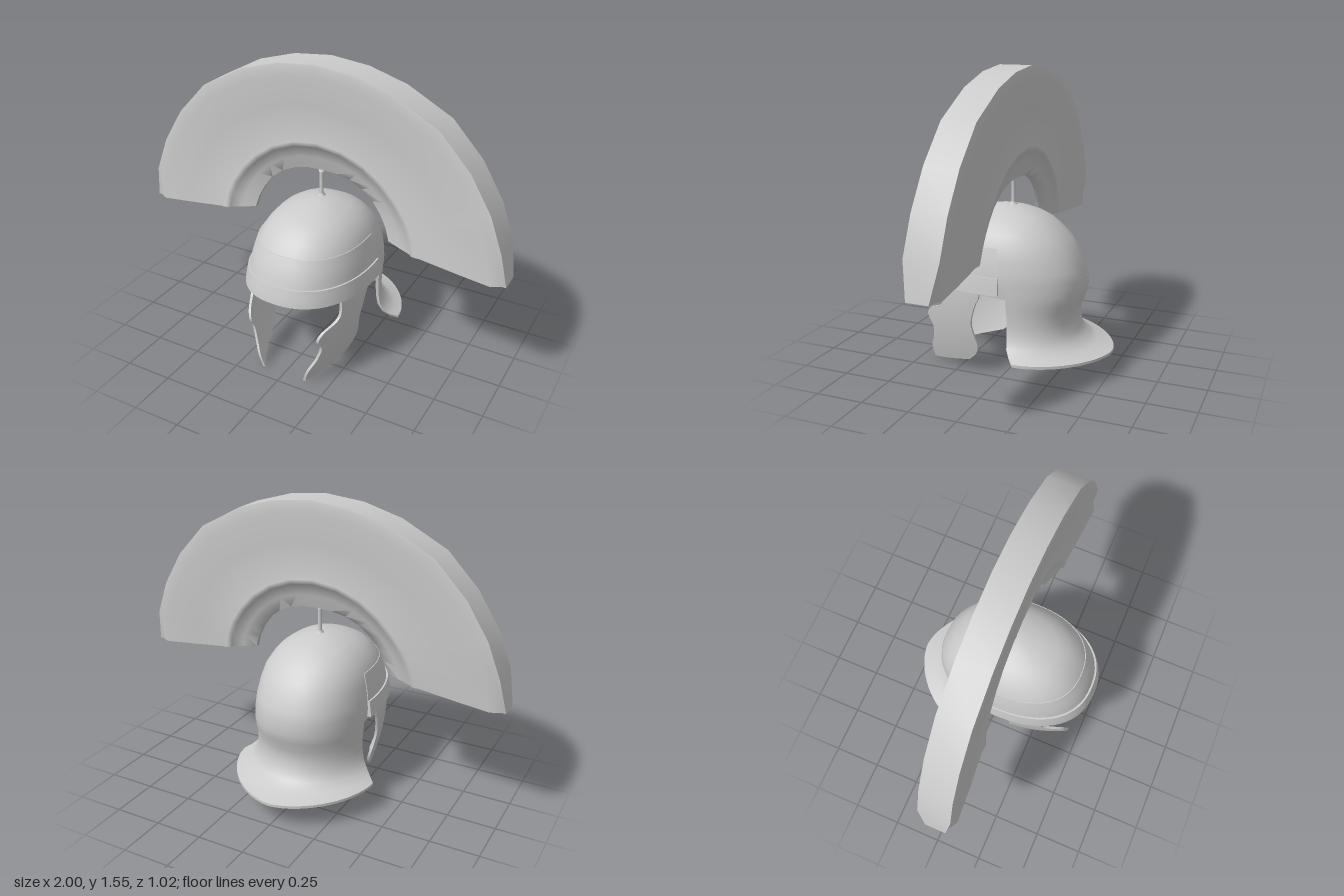
import * as THREE from 'three';
import { toCreasedNormals } from 'three/addons/utils/BufferGeometryUtils.js';

const material = new THREE.MeshStandardMaterial({ color: 0xcccccc, side: THREE.DoubleSide });
const lerp = THREE.MathUtils.lerp;

// Skin a row of closed loops; the ends are capped by joining point i to its partner n-1-i.
function loft(name, loops, crease = 0.7) {
  const n = loops[0].length, m = loops.length;
  const index = [];
  const quad = (a, b, c, d) => index.push(a, b, c, a, c, d);
  for (let s = 0; s < m - 1; s++)
    for (let i = 0; i < n; i++) {
      const j = (i + 1) % n;
      quad(s * n + i, s * n + j, (s + 1) * n + j, (s + 1) * n + i);
    }
  for (let i = 0; i < n / 2 - 1; i++) {
    const e = (m - 1) * n;
    quad(i, n - 1 - i, n - 2 - i, i + 1);
    quad(e + i, e + i + 1, e + n - 2 - i, e + n - 1 - i);
  }
  // turn the faces outward if the enclosed volume is negative
  const p = loops.flat();
  let volume = 0;
  for (let k = 0; k < index.length; k += 3)
    volume += p[index[k]].dot(p[index[k + 1]].clone().cross(p[index[k + 2]]));
  if (volume < 0) index.reverse();
  const geometry = new THREE.BufferGeometry().setFromPoints(p);
  geometry.setIndex(index);
  const mesh = new THREE.Mesh(toCreasedNormals(geometry, crease), material);
  mesh.name = name;
  return mesh;
}

// Rounded plan: angle 0 at +x, PI/2 towards the front
const power = (v, n) => Math.sign(v) * Math.abs(v) ** (2 / n);
function planPoint(a, y, w, zf, zb, zc, n) {
  const s = power(Math.sin(a), n);
  return new THREE.Vector3(w * power(Math.cos(a), n), y, zc + s * (s > 0 ? zf - zc : zc - zb));
}

// Bowl levels: height, half width, front z, back z
const LEVELS = [
  [0.40, 0.300, 0.490, -0.355], [0.45, 0.302, 0.490, -0.365], [0.50, 0.300, 0.486, -0.360],
  [0.56, 0.295, 0.474, -0.345], [0.63, 0.282, 0.447, -0.312], [0.69, 0.265, 0.412, -0.275],
  [0.74, 0.235, 0.368, -0.225], [0.78, 0.200, 0.322, -0.178], [0.81, 0.155, 0.265, -0.125],
  [0.835, 0.098, 0.190, -0.060], [0.85, 0.045, 0.115, 0.005], [0.855, 0.002, 0.062, 0.058],
];
function bowlPoint(a, y, off = 0) {
  let i = 0;
  while (i < LEVELS.length - 2 && y > LEVELS[i + 1][0]) i++;
  const A = LEVELS[i], B = LEVELS[i + 1], t = (y - A[0]) / (B[0] - A[0]);
  const [w, zf, zb] = [1, 2, 3].map(k => lerp(A[k], B[k], t));
  return planPoint(a, y, w + off, zf + off, zb - off, 0.06, 2.3);
}

// Dome with a slanted floor, its lower rim tucked inside the neck guard
function bowl() {
  const N = 72;
  const ring = f => Array.from({ length: N }, (_, i) => f(((i + 0.5) / N) * Math.PI * 2));
  const loops = [ring(a => bowlPoint(a, 0.445 + 0.035 * Math.sin(a), -0.006))];
  for (const [y] of LEVELS.slice(2)) loops.push(ring(a => bowlPoint(a, y)));
  return loft('bowl', loops);
}

// Raised plate wrapped round the front half of the bowl
function frontBand(name, low, high, tilt, offLow, offHigh) {
  const loops = [], steps = 36, start = -0.13, T = [0, 0.25, 0.5, 0.75, 1];
  for (let k = 0; k <= steps; k++) {
    const a = lerp(start, Math.PI - start, k / steps);
    const rise = tilt * Math.max(0, Math.sin(a));
    const side = off => T.map(t => bowlPoint(a, lerp(low, high, t) + rise, off(t)));
    loops.push([...side(t => lerp(offLow, offHigh, t)), ...side(() => -0.012).reverse()]);
  }
  return loft(name, loops, 0.6);
}

// Back plate flaring into the neck guard:
// height, half width, back z, front edge z, plan centre z, plan roundness
function neckGuard() {
  const rows = [
    [0.50, 0.300, -0.360, -0.045, 0.06, 2.3], [0.45, 0.302, -0.365, -0.047, 0.06, 2.3],
    [0.40, 0.301, -0.352, -0.050, 0.06, 2.3], [0.35, 0.300, -0.333, -0.053, 0.06, 2.3],
    [0.29, 0.302, -0.322, -0.056, 0.05, 2.3], [0.235, 0.310, -0.335, -0.058, 0.02, 2.15],
    [0.195, 0.327, -0.360, -0.066, -0.03, 2.0], [0.168, 0.354, -0.415, -0.088, -0.08, 1.85],
    [0.150, 0.385, -0.512, -0.118, -0.118, 1.7],
  ];
  const loops = [], steps = 48, t = 0.014;
  for (let k = 0; k <= steps; k++) {
    const side = inner => rows.map(([y, w, zb, ze, zc, n], i) => {
      const start = Math.asin(((zc - ze) / (zc - zb)) ** (n / 2));
      const a = -lerp(start, Math.PI - start, k / steps);
      const flat = Math.max(0, (i - 5) / 3); // offset turns from inward to downward
      const o = inner ? t * (1 - flat) : 0;
      return planPoint(a, y + 0.014 * Math.sin(a) * flat - (inner ? t * flat : 0),
        w - o, 0, zb + o, zc, n);
    });
    loops.push([...side(false), ...side(true).reverse()]);
  }
  return loft('neckGuard', loops);
}

// Cheek plate between a wavy front edge and a rear edge, curving inward
function cheekGuard(name, sign) {
  const edge = pts => new THREE.CatmullRomCurve3(
    pts.map(([z, y]) => new THREE.Vector3(0, y, z))).getPoints(32);
  const front = edge([[0.31, 0.48], [0.31, 0.38], [0.33, 0.35], [0.41, 0.31], [0.43, 0.27],
    [0.40, 0.21], [0.41, 0.14], [0.44, 0.07], [0.435, 0.003]]);
  const rear = edge([[0.09, 0.48], [0.095, 0.43], [0.115, 0.39], [0.135, 0.33], [0.145, 0.28],
    [0.135, 0.22], [0.12, 0.16], [0.135, 0.11], [0.18, 0.065]]);
  const loops = front.map((f, k) => {
    const outer = [], inner = [];
    for (let i = 0; i <= 8; i++) {
      const p = rear[k].clone().lerp(f, i / 8);
      const x = 0.3 - 0.09 * ((0.46 - p.y) / 0.46) ** 2 - 0.72 * (p.z - 0.09) ** 2;
      outer.push(new THREE.Vector3(sign * x, p.y, p.z));
      inner.unshift(new THREE.Vector3(sign * (x - 0.014), p.y, p.z));
    }
    return [...outer, ...inner];
  });
  return loft(name, loops);
}

// Transverse crest: a fan that narrows to a thin inner edge below a ridge
// and bends slightly forward at the ends
function crest() {
  const arcs = [
    [[0, 0.99], [0.08, 0.986], [0.155, 0.97], [0.225, 0.938], [0.285, 0.89],
      [0.33, 0.83], [0.365, 0.765], [0.385, 0.70]],
    [[0, 1.135], [0.13, 1.118], [0.25, 1.07], [0.345, 1.0], [0.42, 0.92],
      [0.475, 0.84], [0.51, 0.76], [0.53, 0.682]],
    [[0, 1.55], [0.2, 1.53], [0.4, 1.472], [0.63, 1.35], [0.79, 1.18],
      [0.9, 1.0], [0.968, 0.82], [1, 0.645]],
  ];
  // position from inner arc (0) over ridge (1) to outer arc (2), half thickness
  const profile = [[0, 0.012], [0.5, 0.036], [0.93, 0.054], [0.98, 0.066], [1.04, 0.066],
    [1.08, 0.062], [1.5, 0.078], [1.85, 0.088], [1.96, 0.088], [2, 0.085]];
  const last = arcs[0].length - 1, loops = [];
  for (let k = -last; k <= last; k++) {
    const j = Math.abs(k), sign = k < 0 ? -1 : 1;
    const zc = 0.016 + 0.026 * (j / last) ** 2;
    const half = s => profile.map(([t, h]) => {
      const i = t < 1 ? 0 : 1, A = arcs[i][j], B = arcs[i + 1][j];
      const taper = j === last && t > 1.9 ? 0.64 : 1;
      return new THREE.Vector3(sign * lerp(A[0], B[0], t - i), lerp(A[1], B[1], t - i),
        zc + s * h * taper);
    });
    loops.push([...half(1), ...half(-1).reverse()]);
  }
  return loft('crest', loops, 1.2);
}

export function createModel() {
  const model = new THREE.Group();
  model.name = 'crestedHelmet';

  model.add(bowl(), neckGuard(), crest(),
    frontBand('browBand', 0.46, 0.545, 0.015, 0.02, 0.013),
    frontBand('foreheadPlate', 0.54, 0.685, 0.006, 0.005, 0.004),
    cheekGuard('leftCheekGuard', 1), cheekGuard('rightCheekGuard', -1));

  // Stem with flared ends
  const stem = new THREE.Mesh(new THREE.LatheGeometry(
    [[0.025, 0.845], [0.018, 0.857], [0.01, 0.868], [0.01, 0.975], [0.016, 0.99], [0, 0.99]]
      .map(([r, y]) => new THREE.Vector2(r, y)), 16), material);
  stem.name = 'crestStem';
  stem.position.z = 0.03;
  model.add(stem);
  return model;
}
